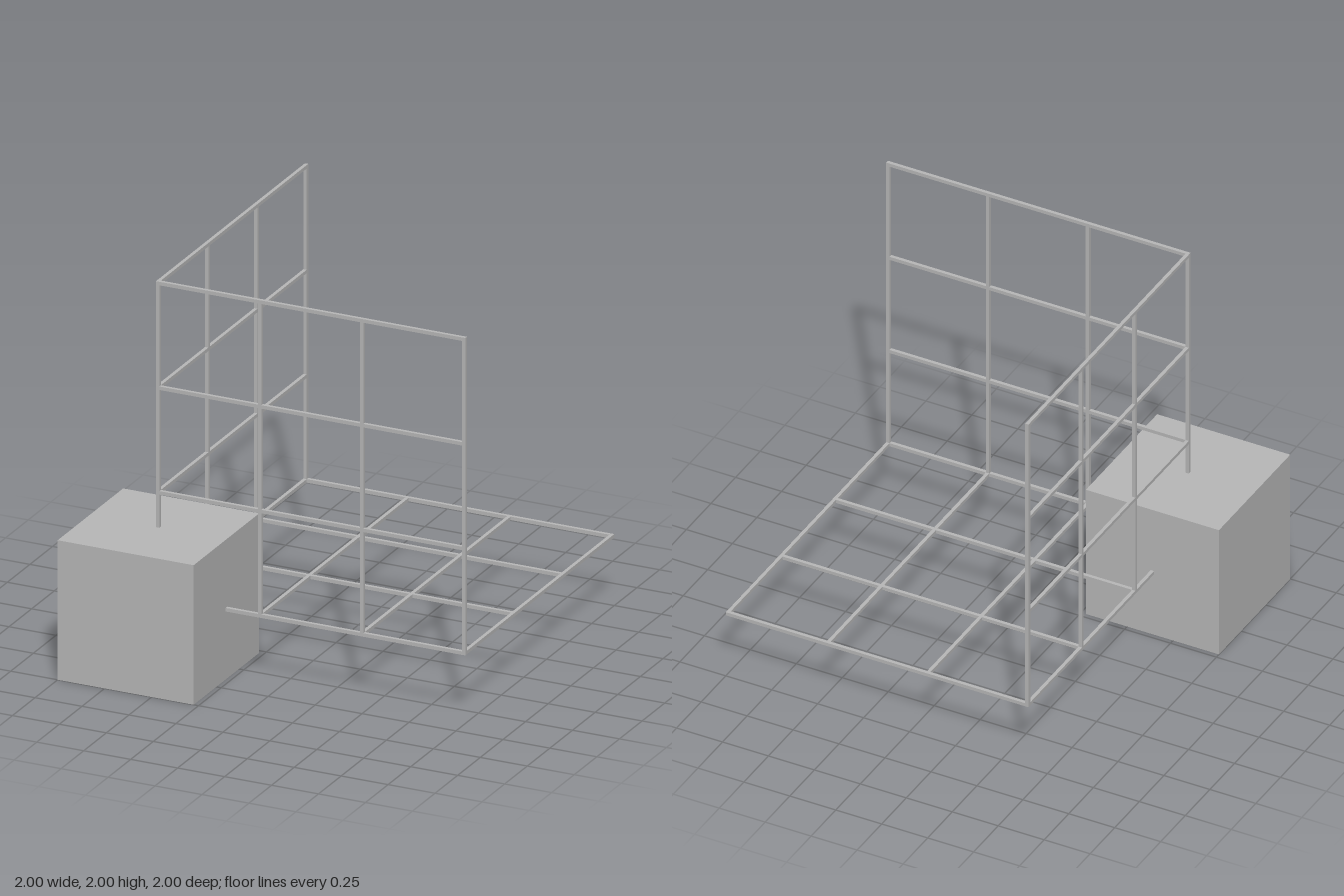
import * as THREE from 'three';

export function createModel() {
  const model = new THREE.Group();
  const grey = new THREE.MeshStandardMaterial({ color: 0xb8b8b8 });
  grey.name = 'plain grey';

  const unit = 2 / 110.5;      // one bar thickness
  const cubeSize = 40 * unit;
  const cell = 30 * unit;      // grid spacing
  const cells = 3;
  const half = cubeSize / 2;
  const origin = new THREE.Vector3(-1 + half, half, 1 - half);
  const grow = [1, 1, -1];     // grids run to +x, +y and -z from the cube centre

  // Solid cube around the shared corner of the grids
  const cube = new THREE.Mesh(new THREE.BoxGeometry(cubeSize, cubeSize, cubeSize), grey);
  cube.name = 'cornerCube';
  cube.position.copy(origin);
  model.add(cube);

  // Square bars along each axis; a bar belongs to a grid plane when one offset is zero
  const names = ['xBar', 'yBar', 'zBar'];
  const lattice = new THREE.Group();
  lattice.name = 'gridPlanes';
  for (let axis = 0; axis < 3; axis++) {
    const b = (axis + 1) % 3, c = (axis + 2) % 3;
    const size = [unit, unit, unit];
    size[axis] = cells * cell + unit;
    const geometry = new THREE.BoxGeometry(...size);
    for (let i = 0; i <= cells; i++) {
      for (let j = 0; j <= cells; j++) {
        if (i && j) continue;
        const bar = new THREE.Mesh(geometry, grey);
        bar.name = names[axis];
        const offset = [0, 0, 0];
        offset[axis] = grow[axis] * cells * cell / 2;
        offset[b] = grow[b] * i * cell;
        offset[c] = grow[c] * j * cell;
        bar.position.set(...offset).add(origin);
        lattice.add(bar);
      }
    }
  }
  model.add(lattice);
  return model;
}
